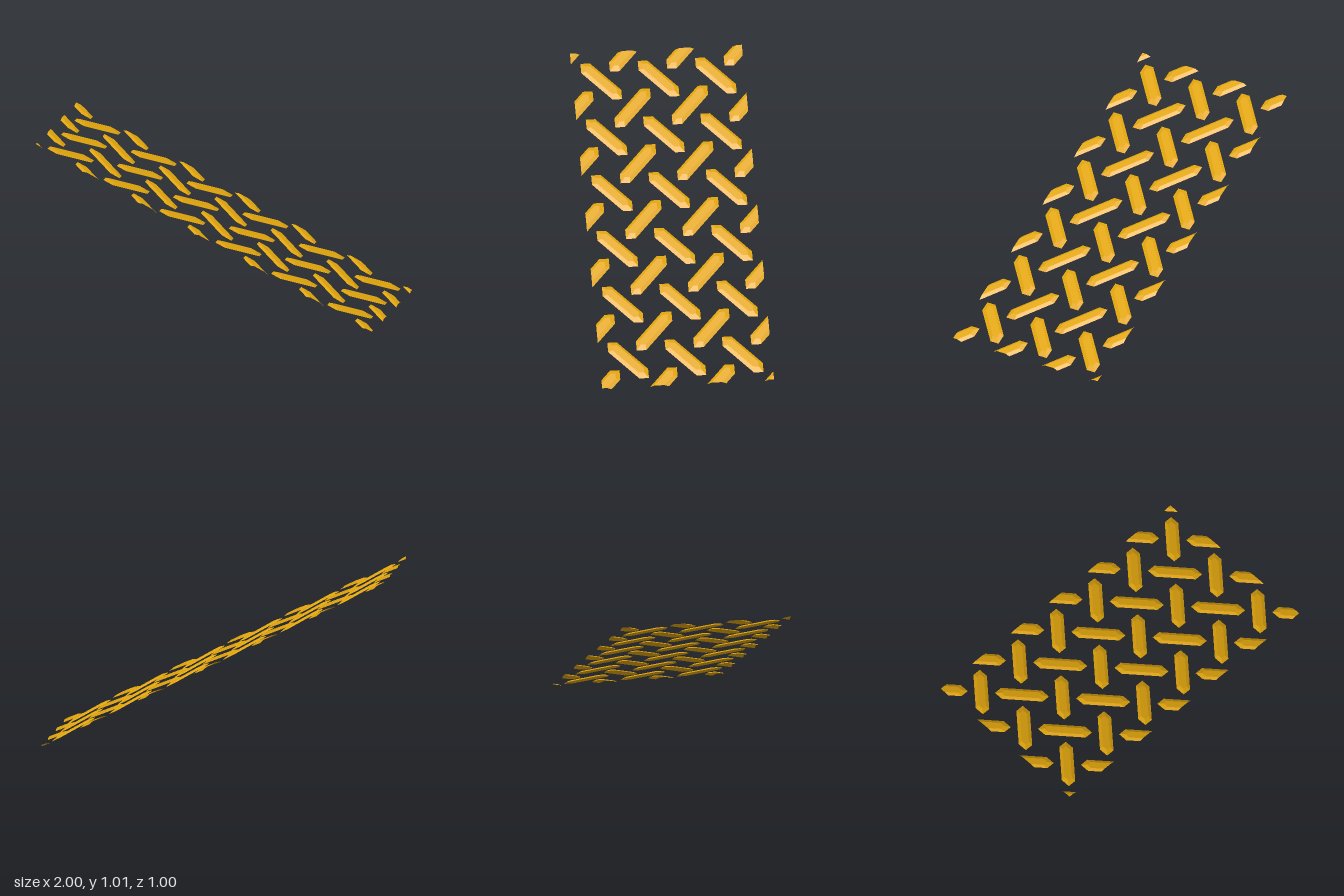
import * as THREE from 'three';

const PITCH = 1 / 3, HEIGHT = 0.01;

// Diagonal six-sided outline: reach of the tips and half width measured along an axis
function outline(reach, half, mirror) {
  const c = reach - half;
  const pts = [[-reach, -reach], [-reach, -c], [c, reach], [reach, reach], [reach, c], [-c, -reach]];
  return mirror ? pts.map(([x, z]) => [x, -z]).reverse() : pts;
}

// Cut a polygon at limit on one axis (0 = x, 2 = z), keeping the side towards the middle
function clip(poly, axis, sign, limit) {
  const out = [];
  poly.forEach((p, i) => {
    const q = poly[(i + 1) % poly.length];
    const a = limit - sign * p[axis], b = limit - sign * q[axis];
    if (a >= 0) out.push(p);
    if ((a > 0 && b < 0) || (a < 0 && b > 0)) {
      const t = a / (a - b);
      out.push(p.map((v, k) => v + (q[k] - v) * t));
    }
  });
  return out;
}

// One raised tread bar: flat top and six sloping sides, trimmed at the edges of the ramp
function treadBar(cx, cz, mirror) {
  const place = (pts, h) => pts.map(([x, z]) => [cx + x, h, cz + z]);
  const base = place(outline(1 / 9, 1 / 18, mirror), 0);
  const top = place(outline(0.085, 0.03, mirror), HEIGHT);
  const faces = [top];
  base.forEach((p, i) => {
    const j = (i + 1) % base.length;
    faces.push([p, base[j], top[j], top[i]]);
  });
  const pos = [];
  for (let face of faces) {
    for (const s of [-1, 1]) face = clip(clip(face, 0, s, 1), 2, s, 0.5);
    // Shear onto the slope, which falls towards +x
    const v = face.map(([x, y, z]) => [x, y + 0.5 - 0.5 * x, z]);
    for (let i = 1; i + 1 < v.length; i++) pos.push(...v[0], ...v[i], ...v[i + 1]);
  }
  const geo = new THREE.BufferGeometry();
  geo.setAttribute('position', new THREE.Float32BufferAttribute(pos, 3));
  geo.computeVertexNormals();
  return geo;
}

export function createModel() {
  const model = new THREE.Group();
  model.name = 'rampTread';
  const material = new THREE.MeshStandardMaterial({ color: 0xe0a40c, flatShading: true, side: THREE.DoubleSide });

  const add = (name, x, z, mirror) => {
    const bar = new THREE.Mesh(treadBar(x, z, mirror), material);
    bar.name = name;
    model.add(bar);
  };

  // Bars leaning one way, three full rows
  for (let r = -1; r <= 1; r++)
    for (let i = 0; i < 6; i++) add('risingBar', -5 / 6 + i * PITCH, r * PITCH, true);

  // Bars leaning the other way, in the gaps; the outer ones are cut by the edges
  for (let r = 0; r < 4; r++)
    for (let i = 0; i < 7; i++) add('fallingBar', -1 + i * PITCH, -0.5 + r * PITCH, false);

  return model;
}
